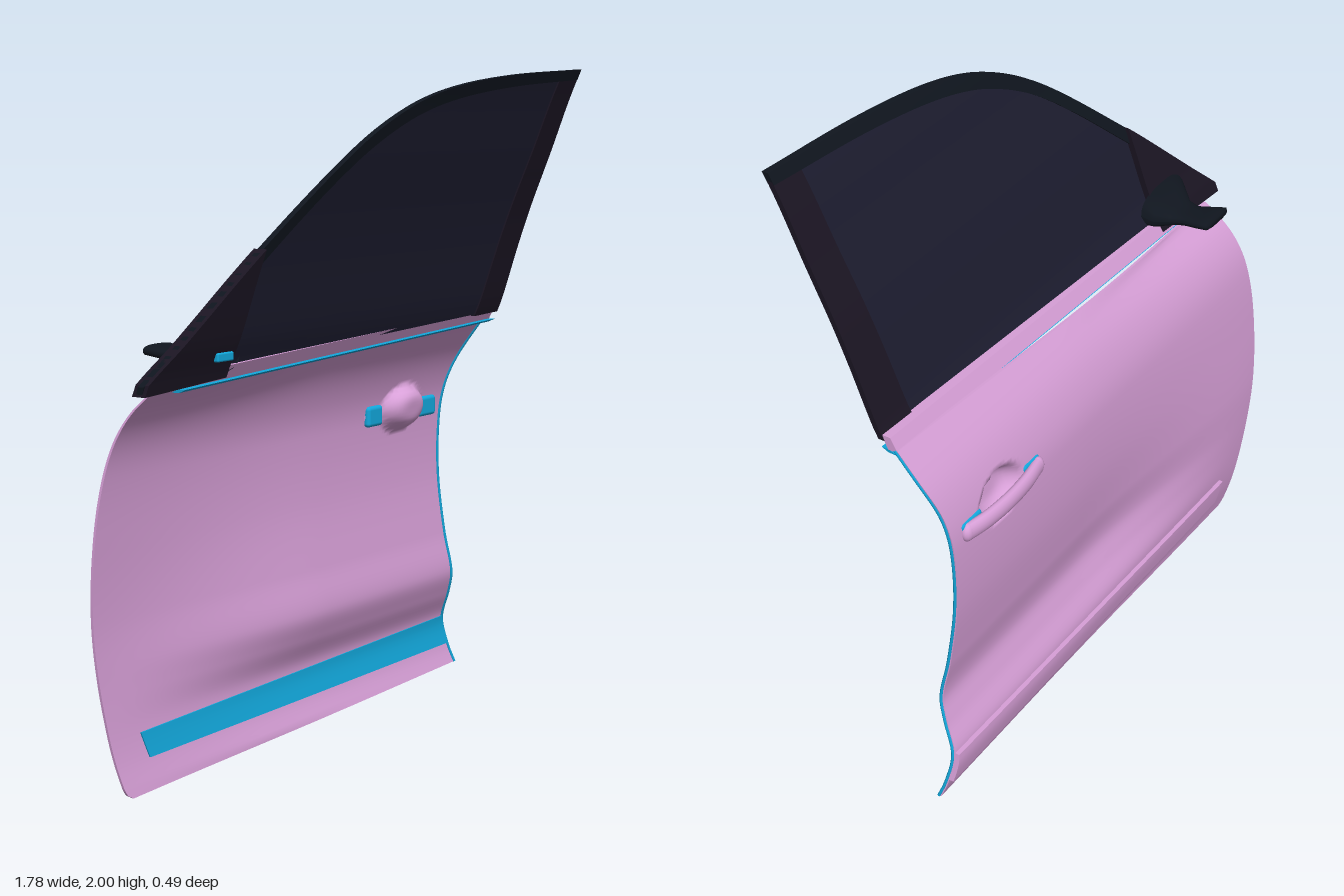
import * as THREE from 'three';
import { mergeGeometries } from 'three/addons/utils/BufferGeometryUtils.js';
import { RoundedBoxGeometry } from 'three/addons/geometries/RoundedBoxGeometry.js';

const mat = (color) => new THREE.MeshStandardMaterial({ color, side: THREE.DoubleSide });
const lerp = THREE.MathUtils.lerp;

// Smooth function through [t, value] pairs sorted by t
function smoothFn(p) {
  const slope = (i) => {
    const a = p[Math.max(i - 1, 0)], b = p[Math.min(i + 1, p.length - 1)];
    return (b[1] - a[1]) / (b[0] - a[0]);
  };
  return (t) => {
    t = THREE.MathUtils.clamp(t, p[0][0], p[p.length - 1][0]);
    let i = 0;
    while (i < p.length - 2 && t > p[i + 1][0]) i++;
    const h = p[i + 1][0] - p[i][0], s = (t - p[i][0]) / h, s2 = s * s, s3 = s2 * s;
    return (2 * s3 - 3 * s2 + 1) * p[i][1] + (s3 - 2 * s2 + s) * h * slope(i)
      + (3 * s2 - 2 * s3) * p[i + 1][1] + (s3 - s2) * h * slope(i + 1);
  };
}

// Grid surface from f(u, v) -> [x, y, z]
function grid(nu, nv, f) {
  const pos = [], idx = [];
  for (let j = 0; j <= nv; j++) for (let i = 0; i <= nu; i++) pos.push(...f(i / nu, j / nv));
  for (let j = 0; j < nv; j++) for (let i = 0; i < nu; i++) {
    const a = j * (nu + 1) + i, b = a + 1, c = a + nu + 1, d = c + 1;
    idx.push(a, b, d, a, d, c);
  }
  const g = new THREE.BufferGeometry();
  g.setAttribute('position', new THREE.Float32BufferAttribute(pos, 3));
  g.setIndex(idx);
  g.computeVertexNormals();
  return g;
}

// Curved panel with thickness t towards -z and closed sharp edges
function slab(nu, nv, t, f) {
  const back = (u, v, k) => { const p = f(u, v); return [p[0], p[1], p[2] - t * k]; };
  return mergeGeometries([
    grid(nu, nv, f),
    grid(nu, nv, (u, v) => back(1 - u, v, 1)),
    grid(nu, 1, (a, b) => back(a, 0, 1 - b)),
    grid(nu, 1, (a, b) => back(a, 1, b)),
    grid(nv, 1, (a, b) => back(1, a, 1 - b)),
    grid(nv, 1, (a, b) => back(0, a, b)),
  ]);
}

// Door outline and depth profiles by height
const frontEdge = smoothFn([[0, -0.765], [0.015, -0.79], [0.05, -0.803], [0.2, -0.832], [0.4, -0.86], [0.6, -0.872],
  [0.8, -0.864], [1, -0.832], [1.15, -0.8]]);
const rearEdge = smoothFn([[0.04, 0.855], [0.2, 0.82], [0.4, 0.785], [0.6, 0.768], [0.8, 0.763], [1, 0.775],
  [1.12, 0.8], [1.22, 0.81]]);
const frontZ = smoothFn([[0, -0.19], [0.1, -0.212], [0.2, -0.225], [0.35, -0.236], [0.5, -0.24], [0.7, -0.23],
  [0.9, -0.21], [1, -0.185], [1.08, -0.14], [1.15, -0.07]]);
const rearZ = smoothFn([[0.03, -0.185], [0.1, -0.208], [0.2, -0.22], [0.29, -0.185], [0.37, -0.163], [0.5, -0.182],
  [0.7, -0.202], [0.9, -0.2], [1, -0.182], [1.1, -0.14], [1.22, -0.055]]);
const belt = (x) => 1.15 + (x + 0.8) * 0.04;

function doorZ(x, y) {
  return lerp(frontZ(y), rearZ(y), THREE.MathUtils.smoothstep(x, -0.85, 0.1));
}
function doorPoint(u, v) {
  const x0 = lerp(-0.8, 0.82, u);
  const y = lerp(lerp(0.003, 0.045, u), belt(x0), v);
  const x = lerp(frontEdge(y), rearEdge(y), u);
  // Finger recess behind the handle
  const r2 = ((x - 0.53) / 0.105) ** 2 + ((y - 0.94) / 0.072) ** 2;
  return [x, y, doorZ(x, y) + (r2 < 1 ? 0.055 * (1 - r2 * r2) : 0)];
}

// Window area
const winZ = smoothFn([[1.14, -0.045], [1.2, -0.027], [1.27, 0], [1.45, 0.05], [1.58, 0.09], [1.75, 0.15],
  [1.9, 0.2], [2, 0.238]]);
const arc = smoothFn([[-0.89, 1.17], [-0.7, 1.345], [-0.5, 1.525], [-0.2, 1.775], [0, 1.885], [0.2, 1.943],
  [0.5, 1.98], [0.89, 2]]);

export function createModel() {
  const model = new THREE.Group();
  const paint = mat(0xd8a0d8), dark = mat(0x1c1624), black = mat(0x10161f), glass = mat(0x1d1d30), blue = mat(0x12a8dc);
  const add = (name, geo, m, parent = model) => {
    const mesh = new THREE.Mesh(geo, m);
    mesh.name = name;
    parent.add(mesh);
    return mesh;
  };

  // Pressed door skin with its rear edge seam
  add('doorSkin', slab(120, 100, 0.008, doorPoint), paint);
  const edge = [];
  for (let i = 0; i <= 30; i++) edge.push(new THREE.Vector3(...doorPoint(1, i / 30)));
  add('rearEdgeSeam', new THREE.TubeGeometry(new THREE.CatmullRomCurve3(edge), 60, 0.005, 6), blue);

  // Lower rub strip outside and its backing inside
  const strip = (dz) => (u, v) => {
    const y = lerp(lerp(0.095, 0.11, u), lerp(0.17, 0.205, u), v);
    const x = lerp(-0.705 + 0.025 * (1 - v), rearEdge(y), u);
    return [x, y, doorZ(x, y) + dz];
  };
  add('rubStrip', slab(40, 6, 0.018, strip(-0.004)), paint);
  add('rubStripBacking', slab(40, 6, 0.004, strip(0.005)), blue);

  // Belt line moulding and the seam under it
  const beltBand = (low, high, dz) => (u, v) => {
    const x = lerp(-0.74, 0.81, u);
    return [x, belt(x) + lerp(low, high, v), lerp(-0.05, -0.028, v) + dz];
  };
  add('beltMoulding', slab(20, 3, 0.03, beltBand(-0.005, 0.036, 0.012)), paint);
  add('beltSeam', slab(20, 1, 0.025, beltBand(-0.014, -0.004, 0.012)), blue);

  // Glass
  add('windowGlass', slab(40, 24, 0.006, (u, v) => {
    const x = lerp(-0.56, 0.8, u), y = lerp(belt(x) + 0.025, arc(x) - 0.015, v);
    const xs = Math.min(x, lerp(0.8, 0.87, v));
    return [xs, y, winZ(y)];
  }), glass);

  // Curved upper frame
  add('windowFrame', slab(70, 3, 0.02, (u, v) => {
    const x = lerp(-0.89, 0.89, u), top = arc(x);
    const y = lerp(Math.max(top - lerp(0.055, 0.032, u), 1.15), top, v);
    return [x - (1 - v) * u * 0.004, y, winZ(y) + 0.006];
  }), black);

  // Rear pillar trim
  add('rearPillar', slab(6, 24, 0.018, (u, v) => {
    const x = lerp(lerp(0.68, 0.785, v), lerp(0.812, 0.889, v), u);
    const y = lerp(belt(x) + 0.02, arc(x) - 0.004, v);
    return [x, y, winZ(y) + 0.005];
  }), dark);

  // Front corner panel that carries the mirror mount
  add('cornerPanel', slab(16, 12, 0.045, (u, v) => {
    const x = lerp(lerp(-0.89, -0.885, v), lerp(-0.56, -0.515, v), u);
    const y = lerp(1.143 + 0.02 * u, arc(x), v);
    return [x, y, winZ(y) + 0.018];
  }), dark);
  const clip = add('cornerClip', new RoundedBoxGeometry(0.07, 0.025, 0.02, 2, 0.005), blue);
  clip.position.set(-0.6, 1.225, 0.002);

  // Mirror mount: rows of z, centre x, half width, centre y, half height
  const rows = [[-0.02, -0.62, 0.12, 1.235, 0.06], [-0.05, -0.62, 0.1, 1.215, 0.036], [-0.09, -0.612, 0.065, 1.213, 0.022],
    [-0.13, -0.608, 0.05, 1.218, 0.017], [-0.18, -0.61, 0.06, 1.227, 0.016], [-0.215, -0.613, 0.065, 1.233, 0.016],
    [-0.222, -0.613, 0.055, 1.233, 0.01], [-0.222, -0.613, 0, 1.233, 0]];
  add('mirrorMount', grid(28, rows.length - 1, (u, v) => {
    const [z, cx, w, cy, h] = rows[Math.round(v * (rows.length - 1))];
    const a = -u * Math.PI * 2, c = Math.cos(a), s = Math.sin(a);
    return [cx + w * Math.sign(c) * Math.abs(c) ** 0.7, cy + h * Math.sign(s) * Math.abs(s) ** 0.7, z];
  }), black);

  // Outer pull handle with rounded ends and inner mounts
  const handle = new THREE.Group();
  handle.name = 'doorHandle';
  handle.position.y = 0.93;
  model.add(handle);
  const path = new THREE.CatmullRomCurve3([[0.36, -0.207], [0.43, -0.22], [0.53, -0.226], [0.63, -0.22], [0.7, -0.207]]
    .map(([x, z]) => new THREE.Vector3(x, 0, z)));
  add('handleBar', new THREE.TubeGeometry(path, 32, 0.018, 16), paint, handle).scale.y = 1.6;
  for (const [x, w] of [[0.36, 0.08], [0.7, 0.095]]) {
    const end = add('handleEnd', new THREE.SphereGeometry(0.018, 16, 12), paint, handle);
    end.position.set(x, 0, -0.207);
    end.scale.set(1.3, 1.6, 1);
    const mount = add('handleMount', new RoundedBoxGeometry(w, 0.065, 0.026, 4, 0.012), blue, handle);
    mount.position.set(x < 0.5 ? 0.383 : 0.675, 0, -0.194);
  }
  return model;
}
